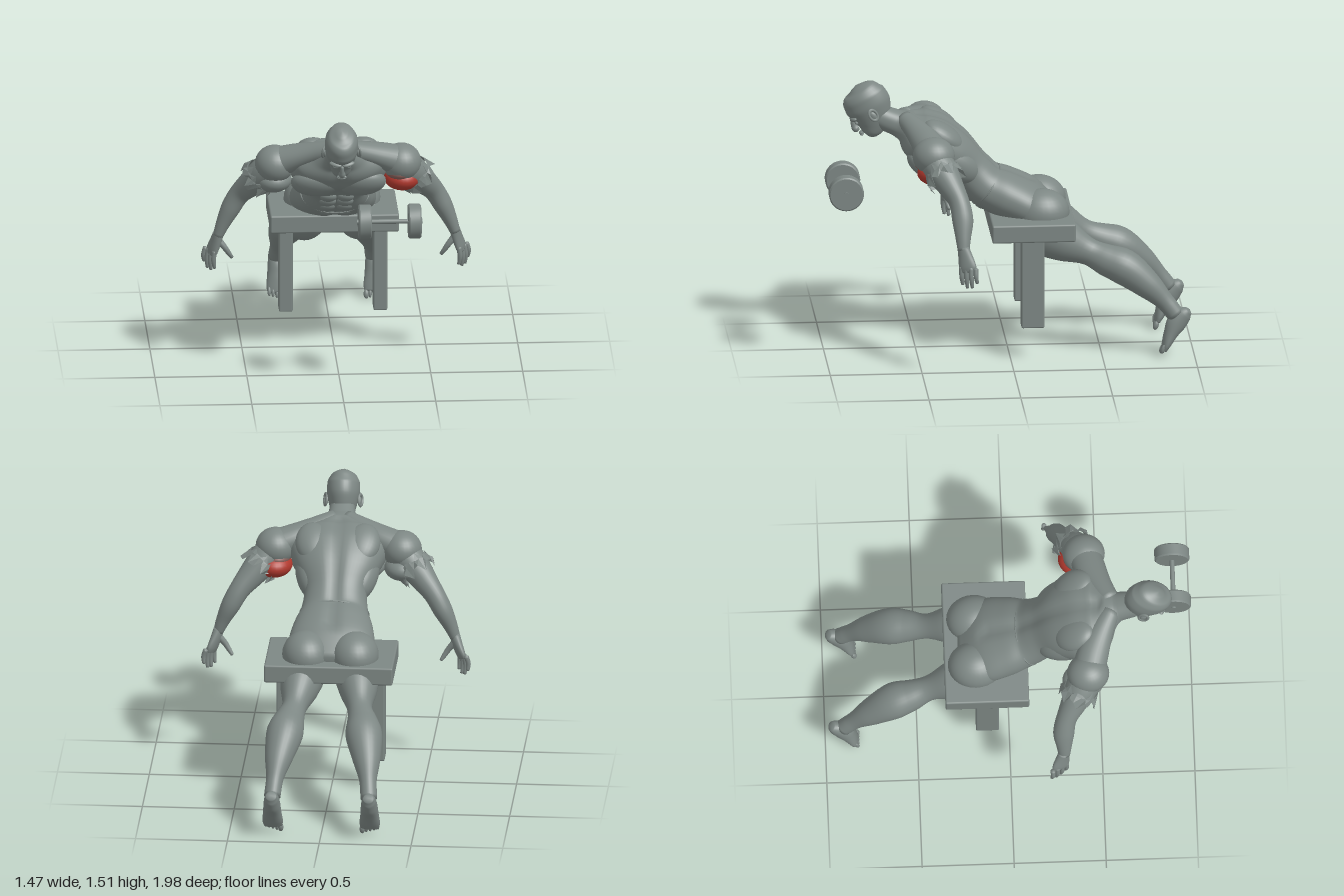
import * as THREE from 'three';
import { toCreasedNormals } from 'three/addons/utils/BufferGeometryUtils.js';
import { RoundedBoxGeometry } from 'three/addons/geometries/RoundedBoxGeometry.js';

const X = new THREE.Vector3(1, 0, 0);
const Z = new THREE.Vector3(0, 0, 1);

function material(name, color, side = THREE.FrontSide) {
  const m = new THREE.MeshStandardMaterial({ color, side });
  m.name = name;
  return m;
}

// Closed, smooth skin through elliptical sections [x, y, z, halfWidth, halfDepth]
function loft(sections, { ref = X, steps = 5, sides = 28, power = 1 } = {}) {
  const path = new THREE.CatmullRomCurve3(sections.map(s => new THREE.Vector3(s[0], s[1], s[2])));
  const size = new THREE.CatmullRomCurve3(sections.map(s => new THREE.Vector3(s[3], s[4], 0)));
  const rows = (sections.length - 1) * steps;
  const pos = [], index = [];
  const shape = v => Math.sign(v) * Math.abs(v) ** power;
  for (let i = 0; i <= rows; i++) {
    const c = path.getPoint(i / rows), r = size.getPoint(i / rows), t = path.getTangent(i / rows);
    const u = ref.clone().addScaledVector(t, -ref.dot(t)).normalize();
    const v = t.clone().cross(u);
    for (let j = 0; j < sides; j++) {
      const q = j / sides * Math.PI * 2;
      const p = c.clone().addScaledVector(u, r.x * shape(Math.cos(q))).addScaledVector(v, r.y * shape(Math.sin(q)));
      pos.push(p.x, p.y, p.z);
    }
  }
  const first = pos.length / 3, last = first + 1;
  for (const [k, sign] of [[0, -1], [1, 1]]) {
    const r = size.getPoint(k);
    const p = path.getPoint(k).addScaledVector(path.getTangent(k), sign * Math.min(r.x, r.y) * 0.4);
    pos.push(p.x, p.y, p.z);
  }
  for (let j = 0; j < sides; j++) {
    const n = (j + 1) % sides;
    for (let i = 0; i < rows; i++) {
      const a = i * sides + j, b = i * sides + n;
      index.push(a, b, a + sides, b, b + sides, a + sides);
    }
    index.push(first, n, j, last, rows * sides + j, rows * sides + n);
  }
  const g = new THREE.BufferGeometry();
  g.setAttribute('position', new THREE.Float32BufferAttribute(pos, 3));
  g.setIndex(index);
  g.computeVertexNormals();
  return g;
}

export function createModel() {
  const model = new THREE.Group();
  model.name = 'benchExercise';
  const grey = material('slate grey', 0x7d8784);
  const cloth = material('slate grey torn', 0x7d8784, THREE.DoubleSide);
  const red = material('muscle red', 0xb0392e);
  const muted = material('muted red', 0x8a615b);
  cloth.flatShading = true;

  const add = (name, geo, mat = grey, parent = model) => {
    const mesh = new THREE.Mesh(geo, mat);
    mesh.name = name;
    parent.add(mesh);
    return mesh;
  };
  const blob = (name, [x, y, z], [rx, ry, rz], mat = grey, parent = model) => {
    const mesh = add(name, new THREE.SphereGeometry(1, 28, 18), mat, parent);
    mesh.position.set(x, y, z);
    mesh.scale.set(rx, ry, rz);
    return mesh;
  };

  // Bench
  add('benchTop', new RoundedBoxGeometry(0.7, 0.1, 0.455, 2, 0.01)).position.set(0, 0.73, -0.122);
  for (const s of [-1, 1])
    add('benchLeg', new RoundedBoxGeometry(0.075, 0.53, 0.125, 2, 0.008)).position.set(s * 0.257, 0.445, -0.12);

  // Dumbbell
  const dumbbell = new THREE.Group();
  dumbbell.name = 'dumbbell';
  dumbbell.position.set(0.255, 1, 0.905);
  dumbbell.rotation.z = Math.PI / 2;
  model.add(dumbbell);
  const disc = [[0, -0.035], [0.088, -0.035], [0.095, -0.028], [0.095, 0.028], [0.088, 0.035], [0, 0.035]];
  for (const s of [-1, 1]) {
    const geo = new THREE.LatheGeometry(disc.map(p => new THREE.Vector2(...p)), 40);
    add('weight', toCreasedNormals(geo, 0.5), grey, dumbbell).position.y = s * 0.135;
  }
  add('bar', new THREE.CylinderGeometry(0.013, 0.013, 0.355, 20), grey, dumbbell);

  // Torso, built upright and then leaned forward
  const torso = new THREE.Group();
  torso.name = 'torso';
  torso.position.set(0, 0.92, 0.115);
  torso.rotation.x = 0.927;
  model.add(torso);
  const trunk = loft([
    [0, -0.38, -0.053, 0.17, 0.09], [0, -0.232, -0.049, 0.235, 0.125], [0, -0.1, -0.02, 0.215, 0.13],
    [0, 0, 0, 0.185, 0.122], [0, 0.116, -0.013, 0.17, 0.122], [0, 0.278, -0.029, 0.23, 0.145],
    [0, 0.397, -0.021, 0.27, 0.15], [0, 0.491, -0.013, 0.24, 0.125], [0, 0.55, -0.008, 0.145, 0.09],
    [0, 0.605, 0.007, 0.08, 0.07], [0, 0.686, 0.027, 0.07, 0.065], [0, 0.75, 0.03, 0.065, 0.06]
  ], { sides: 64, power: 0.9 });
  // Spine furrow and the centre line of the front
  const p = trunk.attributes.position;
  for (let i = 0; i < p.count; i++) {
    const y = p.getY(i), z = p.getZ(i);
    if (y > 0.56 || y < -0.2) continue;
    const dent = Math.exp(-((p.getX(i) / 0.035) ** 2)) * Math.min(1, Math.abs(z) / 0.06);
    p.setZ(i, z - Math.sign(z) * 0.016 * dent);
  }
  trunk.computeVertexNormals();
  add('trunk', trunk, grey, torso);
  const waist = add('waistband', new THREE.TorusGeometry(1, 0.02, 8, 64), grey, torso);
  waist.rotation.x = Math.PI / 2;
  waist.scale.set(0.187, 0.124, 0.2);
  for (const s of [-1, 1]) {
    blob('chestMuscle', [s * 0.125, 0.375, 0.075], [0.135, 0.105, 0.07], grey, torso).rotation.z = s * 0.2;
    blob('shoulderBlade', [s * 0.13, 0.38, -0.105], [0.1, 0.13, 0.065], grey, torso).rotation.z = s * -0.2;
    blob('sideMuscle', [s * 0.15, 0.24, -0.02], [0.075, 0.16, 0.09], grey, torso).rotation.z = s * -0.2;
    for (let i = 0; i < 4; i++)
      blob('abdominal', [s * 0.047, -0.03 + i * 0.075, 0.097], [0.045, 0.04, 0.026], grey, torso);
  }

  // Head, looking down and ahead
  const head = new THREE.Group();
  head.name = 'head';
  head.position.set(0, 1.385, 0.76);
  head.rotation.x = 0.6;
  model.add(head);
  add('skull', loft([
    [0, -0.163, 0.08, 0.025, 0.025], [0, -0.145, 0.066, 0.048, 0.054], [0, -0.1, 0.034, 0.066, 0.09],
    [0, -0.05, 0.012, 0.081, 0.112], [0, 0, 0, 0.09, 0.127], [0, 0.05, -0.005, 0.088, 0.121],
    [0, 0.09, -0.01, 0.068, 0.092], [0, 0.113, -0.01, 0.03, 0.04]
  ], { sides: 40 }), grey, head);
  add('nose', loft([[0, -0.025, 0.118, 0.009, 0.01], [0, -0.06, 0.128, 0.012, 0.018],
    [0, -0.08, 0.13, 0.019, 0.02], [0, -0.092, 0.122, 0.012, 0.012]], { sides: 16 }), grey, head);
  for (const y of [-0.112, -0.122])
    blob('lip', [0, y, 0.119], [0.026, 0.007, 0.012], grey, head);
  for (const s of [-1, 1]) {
    blob('brow', [s * 0.035, -0.018, 0.108], [0.035, 0.011, 0.017], grey, head).rotation.y = s * 0.35;
    blob('eye', [s * 0.033, -0.044, 0.105], [0.017, 0.01, 0.01], grey, head);
    const ear = add('ear', new THREE.TorusGeometry(0.022, 0.007, 8, 20), grey, head);
    ear.position.set(s * 0.095, -0.045, 0);
    ear.rotation.y = Math.PI / 2 + s * 0.4;
    ear.scale.y = 1.4;
    blob('earBowl', [s * 0.091, -0.05, 0.004], [0.01, 0.027, 0.018], grey, head);
  }

  for (const s of [-1, 1]) {
    const side = s > 0 ? 'left' : 'right';
    const limb = (name, rows, opts) => add(side + name, loft(rows.map(([x, ...r]) => [s * x, ...r]), opts));

    // Leg
    blob(side + 'Buttock', [s * 0.133, 0.79, -0.18], [0.13, 0.13, 0.15]);
    limb('Leg', [
      [0.125, 0.77, -0.08, 0.1, 0.1], [0.145, 0.695, -0.19, 0.125, 0.14], [0.162, 0.63, -0.31, 0.102, 0.115],
      [0.18, 0.57, -0.44, 0.067, 0.074], [0.2, 0.53, -0.53, 0.085, 0.088], [0.215, 0.495, -0.62, 0.1, 0.098],
      [0.24, 0.395, -0.75, 0.075, 0.076], [0.255, 0.3, -0.845, 0.046, 0.05], [0.263, 0.23, -0.9, 0.045, 0.048]
    ]);
    // Foot and toes
    limb('Foot', [
      [0.265, 0.255, -0.968, 0.028, 0.024], [0.265, 0.235, -0.945, 0.038, 0.044], [0.265, 0.19, -0.905, 0.045, 0.055],
      [0.265, 0.13, -0.873, 0.05, 0.04], [0.264, 0.07, -0.848, 0.056, 0.026], [0.262, 0.04, -0.836, 0.05, 0.018]
    ]);
    for (let i = 0; i < 5; i++) {
      const toe = blob(side + 'Toe', [s * (0.222 + i * 0.021), 0.026 + i * 0.006, -0.828],
        [i ? 0.01 : 0.015, 0.026, i ? 0.012 : 0.015]);
      toe.rotation.x = -0.3;
    }

    // Shoulder and arm
    limb('Trapezius', [[0.03, 1.3, 0.56, 0.05, 0.05], [0.12, 1.275, 0.51, 0.065, 0.055],
      [0.23, 1.235, 0.46, 0.085, 0.07], [0.33, 1.195, 0.43, 0.09, 0.085]], { ref: Z });
    blob(side + 'Shoulder', [s * 0.345, 1.185, 0.425], [0.108, 0.103, 0.115]);
    limb('Arm', [
      [0.33, 1.18, 0.43, 0.095, 0.095], [0.4, 1.12, 0.39, 0.09, 0.088], [0.47, 1.045, 0.34, 0.07, 0.072],
      [0.53, 0.975, 0.3, 0.056, 0.057], [0.575, 0.895, 0.285, 0.058, 0.053], [0.62, 0.8, 0.285, 0.042, 0.038],
      [0.645, 0.735, 0.285, 0.032, 0.028]
    ], { ref: Z });

    // Biceps, exposed on the left arm
    blob(side + 'Biceps', [s * 0.35, 1.09, 0.4], [0.1, 0.068, 0.115], s > 0 ? red : grey);
    if (s > 0) blob('bicepsFade', [0.335, 1.135, 0.42], [0.078, 0.045, 0.106], muted);

    // Ragged edge round the upper arm
    const rag = new THREE.CylinderGeometry(0.103, 0.097, 0.09, 22, 2, true);
    const q = rag.attributes.position;
    for (let i = 0; i < q.count; i++) {
      const j = i % 23 % 22, row = Math.floor(i / 23);
      if (row === 0) {
        const k = 1 + 0.11 * Math.sin(j * 2.3);
        q.setXYZ(i, q.getX(i) * k, q.getY(i) + 0.03 * Math.sin(j * 4.1), q.getZ(i) * k);
      } else if (row === 2) q.setY(i, q.getY(i) + 0.045 * Math.abs(Math.sin(j * 1.9)));
    }
    rag.computeVertexNormals();
    const sleeve = add(side + 'TornEdge', rag, cloth);
    sleeve.position.set(s * 0.415, 1.105, 0.38);
    sleeve.quaternion.setFromUnitVectors(new THREE.Vector3(0, 1, 0), new THREE.Vector3(s * 0.63, -0.66, -0.41).normalize());

    // Hand
    limb('Palm', [[0.642, 0.75, 0.285, 0.032, 0.028], [0.657, 0.7, 0.275, 0.042, 0.026],
      [0.675, 0.65, 0.265, 0.05, 0.022], [0.683, 0.625, 0.262, 0.044, 0.016]], { ref: new THREE.Vector3(s * 0.5, 0, -1).normalize() });
    for (let i = 0; i < 4; i++) {
      const x = 0.664 + i * 0.015, z = 0.297 - i * 0.025;
      const tip = [0.545, 0.53, 0.535, 0.565][i];
      limb('Finger', [[x, 0.65, z, 0.014, 0.014], [x + 0.006 + i * 0.002, (0.65 + tip) / 2, z, 0.013, 0.013],
        [x + i * 0.003, tip + 0.006, z - 0.006, 0.009, 0.009]], { sides: 12, ref: Z });
    }
    limb('Thumb', [[0.645, 0.71, 0.28, 0.02, 0.02], [0.608, 0.665, 0.285, 0.016, 0.016],
      [0.585, 0.63, 0.28, 0.013, 0.013], [0.568, 0.605, 0.272, 0.009, 0.009]], { sides: 14, ref: Z });
  }
  return model;
}
